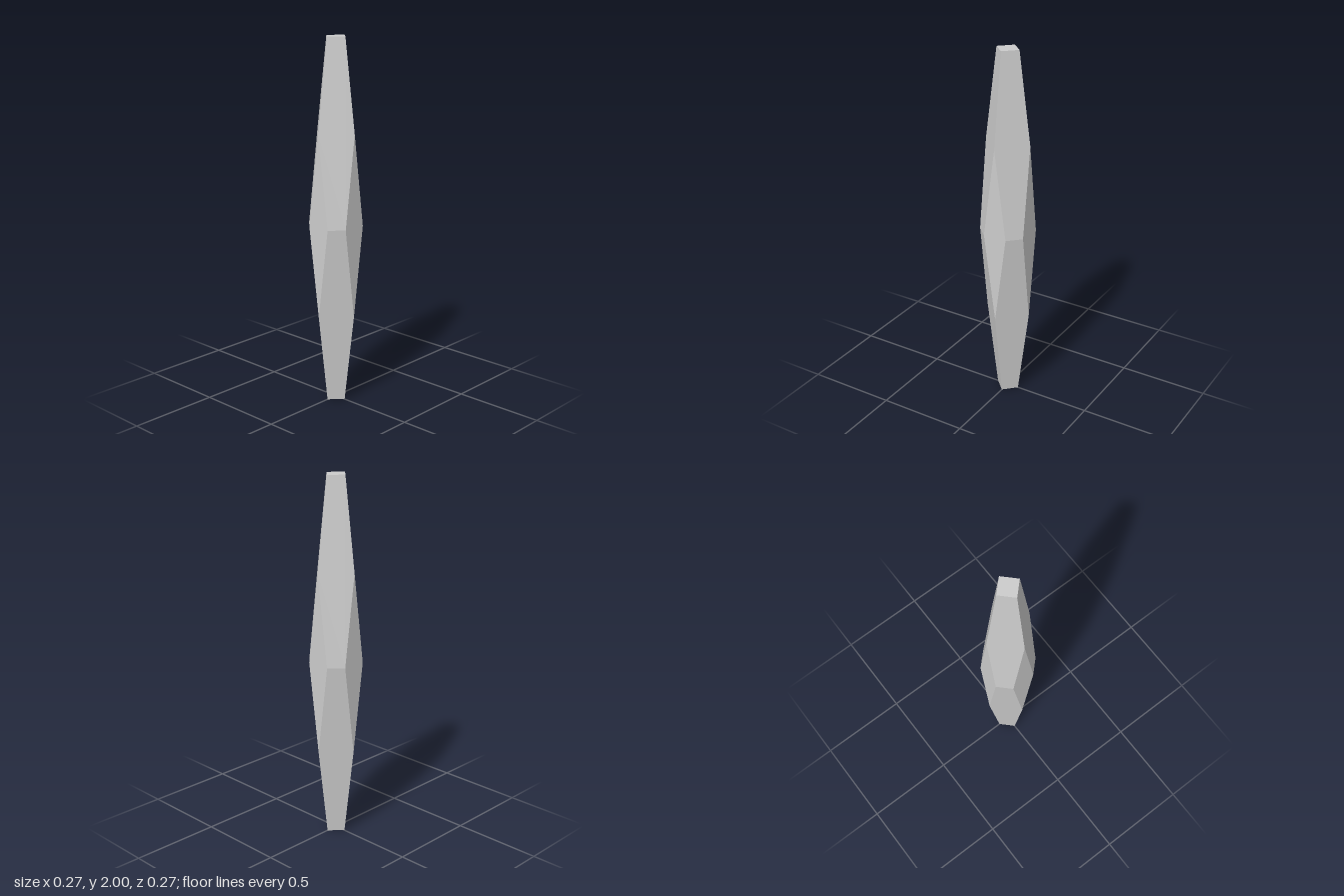
import * as THREE from 'three';
import { ConvexGeometry } from 'three/addons/geometries/ConvexGeometry.js';

// Truncated octahedron: corners are all permutations of (0, ±1, ±2)
function truncatedOctahedron() {
  const corners = [];
  for (const a of [-1, 1]) {
    for (const b of [-2, 2]) {
      for (const [x, y, z] of [[0, a, b], [0, b, a], [a, 0, b], [b, 0, a], [a, b, 0], [b, a, 0]]) {
        corners.push(new THREE.Vector3(x, y, z));
      }
    }
  }
  return new ConvexGeometry(corners);
}

export function createModel() {
  const group = new THREE.Group();
  group.name = 'crystal';

  // Tall, slender faceted shard standing on its small diamond end
  const geometry = truncatedOctahedron();
  geometry.scale(0.0673, 0.5, 0.0673);
  geometry.translate(0, 1, 0);

  const material = new THREE.MeshStandardMaterial({ color: 0xcccccc, flatShading: true });
  const shard = new THREE.Mesh(geometry, material);
  shard.name = 'facetedShard';
  group.add(shard);
  return group;
}
